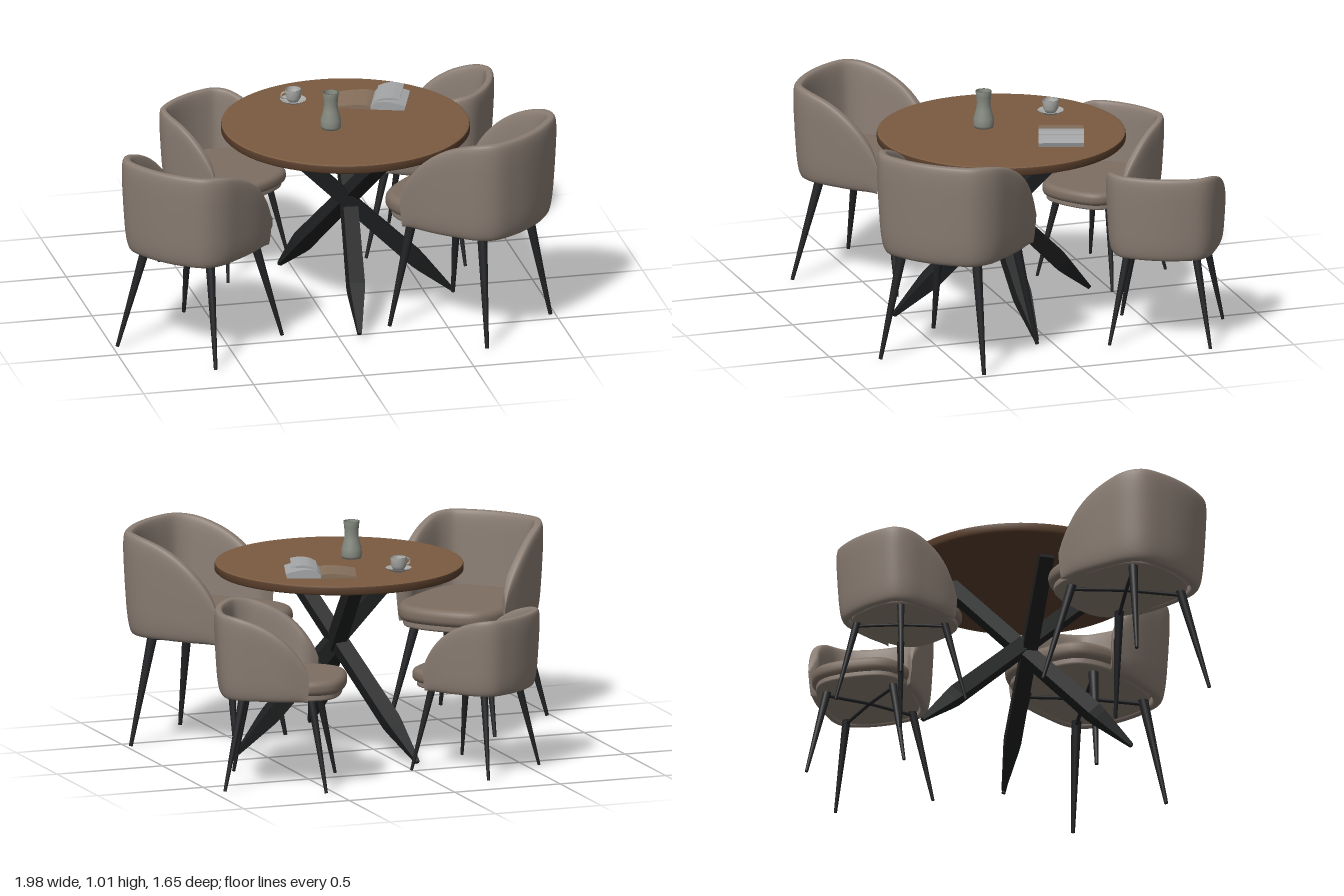
import * as THREE from 'three';
import { mergeVertices } from 'three/addons/utils/BufferGeometryUtils.js';
import { ParametricGeometry } from 'three/addons/geometries/ParametricGeometry.js';

const mat = (color, extra = {}) => new THREE.MeshStandardMaterial({ color, ...extra });
const fabric = mat(0x8a7d73), cushionMat = mat(0x7d6e62), black = mat(0x222325);
const blackFlat = mat(0x1e1f20, { flatShading: true });
const wood = mat(0x7a5b40), woodEdge = mat(0x5a3f2c), glass = mat(0x858a80, { side: THREE.DoubleSide });
const china = mat(0xa9a9a6, { side: THREE.DoubleSide }), paper = mat(0xa3a5a6), cover = mat(0x86705c);
const V3 = (x, y, z) => new THREE.Vector3(x, y, z);

function add(parent, name, geometry, material) {
  const mesh = new THREE.Mesh(geometry, material);
  mesh.name = name;
  parent.add(mesh);
  return mesh;
}

// Places a geometry that runs along +y from 0 so it runs from a towards b
function aim(mesh, a, b) {
  mesh.position.copy(a);
  mesh.quaternion.setFromUnitVectors(V3(0, 1, 0), b.clone().sub(a).normalize());
}

function rod(parent, name, a, b, ra, rb) {
  const length = a.distanceTo(b);
  aim(add(parent, name, new THREE.CylinderGeometry(rb, ra, length, 12).translate(0, length / 2, 0), black), a, b);
}

const lathe = (pts, n = 40) => new THREE.LatheGeometry(pts.map(p => new THREE.Vector2(...p)), n);

// Welds the vertices so the surface shades smoothly
function smooth(geometry) {
  geometry.deleteAttribute('uv');
  geometry.deleteAttribute('normal');
  const merged = mergeVertices(geometry, 1e-5);
  merged.computeVertexNormals();
  return merged;
}

// Outer plan of the wrap-around back, from one arm tip to the other
const half = [[0.32, 0.2], [0.337, 0.06], [0.33, -0.1], [0.308, -0.235], [0.25, -0.318], [0.13, -0.36]];
const plan = new THREE.CatmullRomCurve3([
  ...half.map(([x, z]) => V3(x, 0, z)), V3(0, 0, -0.373),
  ...half.map(([x, z]) => V3(-x, 0, z)).reverse()]);

// Padded shell: a rounded cross-section swept along the plan, falling towards the arms
function shellGeometry() {
  const power = (n, e) => Math.sign(n) * Math.pow(Math.abs(n), e);
  return smooth(new ParametricGeometry((u, v, out) => {
    const p = plan.getPointAt(u), t = plan.getTangentAt(u);
    const q = THREE.MathUtils.clamp((p.z + 0.33) / 0.54, 0, 1);
    const top = 0.6 + 0.4 * Math.pow(1 - q * q, 0.6), bottom = 0.515;
    const end = Math.max(0, Math.min(u, 1 - u));
    const tip = Math.min(1, Math.sqrt(end / 0.05) + 0.05);
    const a = v * Math.PI * 2;
    const inset = (1 - power(Math.cos(a), 0.5)) * 0.03 * tip;
    const y = (top + bottom) / 2 + power(Math.sin(a), 0.45) * (top - bottom) / 2;
    const taper = 0.91 + 0.09 * Math.pow(Math.max(0, y - bottom) / 0.485, 0.6);
    out.set(p.x * taper + t.z * inset, y, p.z * taper - t.x * inset);
  }, 64, 40));
}

// Flat pad with rounded edges, between heights y0 and y1
function padGeometry(scale, y0, y1, bevel) {
  const side = [[0.2, 0.335], [0.275, 0.21], [0.28, 0], [0.25, -0.2], [0.15, -0.29]];
  const loop = new THREE.CatmullRomCurve3([
    V3(0, 0.375, 0), ...side.map(([x, z]) => V3(x, z, 0)), V3(0, -0.31, 0),
    ...side.map(([x, z]) => V3(-x, z, 0)).reverse()], true);
  const points = loop.getPoints(56).slice(0, -1);
  const shape = new THREE.Shape(points.map(p => new THREE.Vector2(p.x * scale, -p.y * scale)));
  const geometry = new THREE.ExtrudeGeometry(shape, {
    depth: y1 - y0 - 2 * bevel, bevelSize: bevel, bevelOffset: -bevel, bevelThickness: bevel, bevelSegments: 5 });
  return smooth(geometry.rotateX(-Math.PI / 2).translate(0, y0 + bevel, 0));
}

function createChair(parts, foot) {
  const chair = new THREE.Group();
  chair.name = 'chair';
  add(chair, 'backrestShell', parts.shell, fabric);
  add(chair, 'seatCushion', parts.cushion, cushionMat);
  add(chair, 'seatBase', parts.base, fabric);
  for (const sx of [-1, 1]) {
    for (const sz of [-1, 1]) {
      rod(chair, 'chairLeg', V3(sx * foot, 0, sz * foot), V3(sx * 0.19, 0.53, sz * 0.19), 0.009, 0.024);
      // Crossed under-seat braces
      rod(chair, 'crossBrace', V3(sx * 0.195, 0.497, sz * 0.195), V3(0, 0.508, 0), 0.009, 0.009);
    }
  }
  return chair;
}

function createTable() {
  const table = new THREE.Group();
  table.name = 'table';
  const top = new THREE.Group();
  top.name = 'roundTop';
  top.position.set(0.135, 0, 0.07);
  add(top, 'tableTop', lathe([[0.549, 0.84], [0.544, 0.843], [0.535, 0.843], [0, 0.843]], 72), wood);
  add(top, 'tableEdge', lathe([[0, 0.802], [0.53, 0.802], [0.542, 0.802], [0.551, 0.81], [0.551, 0.834], [0.549, 0.84]], 72), woodEdge);
  table.add(top);
  // Three crossing legs: [foot, top]
  const legs = [
    [V3(0.62, 0.01, 0.07), V3(-0.18, 0.8, 0.13)],
    [V3(-0.055, 0.01, -0.41), V3(0.27, 0.8, 0.38)],
    [V3(0.085, 0.02, 0.56), V3(0.19, 0.8, -0.26)]];
  for (const [foot, head] of legs) {
    const n = foot.distanceTo(head);
    const leg = lathe([[0, 0], [0.012, 0.005], [0.045, 0.2], [0.05, 0.24], [0.047, n * 0.6], [0.045, n], [0, n]], 4);
    leg.rotateY(Math.PI / 4);
    aim(add(table, 'tableLeg', leg, blackFlat), foot, head);
  }
  return table;
}

function createTableware() {
  const set = new THREE.Group();
  set.name = 'tableware';
  // Vase with a pinched neck and open mouth
  add(set, 'vase', lathe([[0, 0.843], [0.042, 0.843], [0.046, 0.855], [0.045, 0.885], [0.034, 0.925], [0.03, 0.955],
    [0.033, 0.985], [0.036, 1.01], [0.031, 1.01], [0.026, 0.955], [0.036, 0.9], [0, 0.9]]), glass)
    .position.set(0.055, 0, 0.125);
  const cup = new THREE.Group();
  cup.name = 'cupAndSaucer';
  cup.position.set(-0.035, 0, -0.22);
  add(cup, 'saucer', lathe([[0, 0.843], [0.03, 0.843], [0.058, 0.857], [0.058, 0.86], [0.03, 0.849], [0, 0.849]]), china);
  add(cup, 'cup', lathe([[0, 0.85], [0.022, 0.85], [0.034, 0.868], [0.037, 0.907], [0.033, 0.907], [0.03, 0.87], [0, 0.862]]), china);
  const handle = add(cup, 'cupHandle', new THREE.TorusGeometry(0.014, 0.004, 8, 20), china);
  handle.position.set(-0.042, 0.883, 0.008);
  set.add(cup);

  // Open magazine: a flat cover on one side and curling pages on the other
  const book = new THREE.Group();
  book.name = 'magazine';
  book.position.set(0.31, 0.843, -0.15);
  book.rotation.y = -0.33;
  const slab = (name, low, high, material) => {
    const shape = new THREE.Shape(low.map(p => new THREE.Vector2(...p)));
    shape.splineThru(high.map(p => new THREE.Vector2(...p)));
    add(book, name, new THREE.ExtrudeGeometry(shape, { depth: 0.2, bevelEnabled: false, curveSegments: 12 })
      .translate(0, 0, -0.1), material);
  };
  slab('leftPages', [[-0.158, 0], [0, 0], [0, 0.012]], [[-0.03, 0.019], [-0.09, 0.016], [-0.158, 0.006]], cover);
  slab('rightPages', [[0, 0], [0.15, 0], [0.156, 0.02]], [[0.12, 0.03], [0.07, 0.038], [0.025, 0.034], [0, 0.012]], paper);
  slab('curledPage', [[0.015, 0.036], [0.06, 0.046], [0.13, 0.05], [0.13, 0.052]],
    [[0.09, 0.058], [0.05, 0.054], [0.015, 0.039]], paper);
  set.add(book);
  return set;
}

export function createModel() {
  const model = new THREE.Group();
  model.name = 'diningSet';
  model.add(createTable(), createTableware());
  const parts = {
    shell: shellGeometry(),
    cushion: padGeometry(1, 0.545, 0.63, 0.035),
    base: padGeometry(0.93, 0.515, 0.56, 0.012) };
  // Chairs: position, facing direction, size, foot spread
  const chairs = [
    [-0.608, 0.415, 0.735, -0.68, 0.89, 0.295],
    [0.615, 0.435, -0.69, -0.72, 0.96, 0.268],
    [-0.275, -0.54, 0.58, 0.81, 0.715, 0.285],
    [0.645, -0.525, -0.9, -0.44, 0.79, 0.285]];
  for (const [x, z, fx, fz, size, foot] of chairs) {
    const chair = createChair(parts, foot);
    chair.position.set(x, 0, z);
    chair.rotation.y = Math.atan2(fx, fz);
    chair.scale.setScalar(size);
    model.add(chair);
  }
  return model;
}
